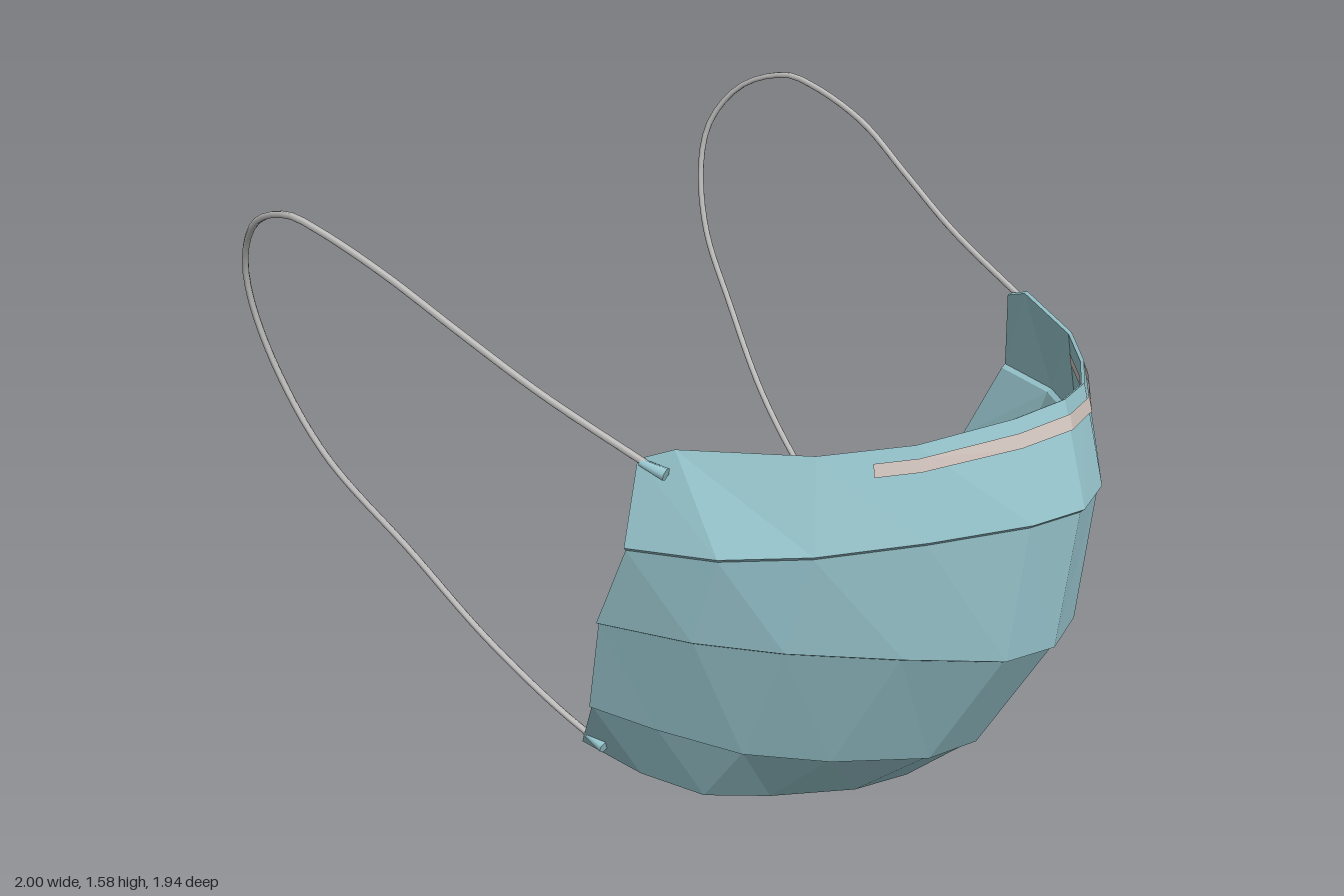
import * as THREE from 'three';

const V = (a) => new THREE.Vector3(...a);

// Half rows of the cover, from the centre line out to the model's left edge
const topRow = [[0, 1.172, .9], [.16, 1.16, .86], [.38, 1.13, .73], [.57, 1.125, .58], [.765, 1.14, .32], [.805, 1.11, .24]];
const foldA = [[0, .903, .97], [.16, .903, .925], [.38, .893, .775], [.6, .885, .6], [.75, .885, .43], [.838, .89, .22]];
const foldB = [[0, .513, .905], [.16, .523, .865], [.38, .567, .71], [.6, .61, .515], [.73, .635, .335], [.81, .65, .1]];
const foldC = [[0, .175, .685], [.16, .18, .645], [.38, .215, .495], [.55, .26, .345], [.67, .32, .16], [.735, .36, 0]];
const bottomRow = [[0, .003, .47], [.16, .01, .415], [.36, .035, .285], [.51, .07, .185], [.59, .12, .04], [.635, .18, -.12]];

// Full row from right edge to left edge
const mirrorRow = (half) => [
  ...half.slice(1).reverse().map(([x, y, z]) => V([-x, y, z])),
  ...half.map(V),
];

// Move a point towards the inside of the cover
const CORE = V([0, .65, -.1]);
const inset = (p, d) => p.clone().addScaledVector(CORE.clone().sub(p).normalize(), d);

// Point on a row at column position u (-5 to 5)
function rowAt(row, u) {
  const i = Math.min(Math.floor(u + 5), 9);
  return row[i].clone().lerp(row[i + 1], u + 5 - i);
}

function flatGeometry(quads) {
  const pos = [];
  for (const [a, b, c, d] of quads) for (const p of [a, b, c, a, c, d]) pos.push(p.x, p.y, p.z);
  const g = new THREE.BufferGeometry();
  g.setAttribute('position', new THREE.Float32BufferAttribute(pos, 3));
  g.computeVertexNormals();
  return g;
}

// Quads between two rows, with the diagonals mirrored about the centre line
function bridge(upper, lower) {
  const quads = [];
  const n = upper.length - 1;
  for (let c = 0; c < n; c++) {
    const [a, b, d, e] = [upper[c], lower[c], lower[c + 1], upper[c + 1]];
    quads.push(c < n / 2 ? [a, b, d, e] : [b, d, e, a]);
  }
  return quads;
}

// Thin pleated shell: each fold ends in a narrow lip facing down
function coverGeometry() {
  const outer = [mirrorRow(topRow)];
  for (const fold of [foldA, foldB, foldC]) {
    const lip = mirrorRow(fold);
    outer.push(lip, lip.map((p) => {
      const q = inset(p, .012);
      q.y -= .007;
      return q;
    }));
  }
  outer.push(mirrorRow(bottomRow));
  const inner = outer.map((row) => row.map((p) => inset(p, .01)));
  const ring = [...outer, ...inner.slice().reverse()];
  const quads = ring.flatMap((row, r) => bridge(row, ring[(r + 1) % ring.length]));
  // Side edges
  for (let r = 0; r < outer.length - 1; r++) {
    const e = outer[r].length - 1;
    quads.push([inner[r][0], inner[r + 1][0], outer[r + 1][0], outer[r][0]]);
    quads.push([outer[r][e], outer[r + 1][e], inner[r + 1][e], inner[r][e]]);
  }
  return flatGeometry(quads);
}

// Thin band following the upper panel
function stripGeometry(depth) {
  const a = mirrorRow(topRow), b = mirrorRow(foldA);
  const us = [-2.45, -2, -1, 0, 1, 2, 2.8];
  const line = (t) => us.map((u) => inset(rowAt(a, u).lerp(rowAt(b, u), t), depth));
  return flatGeometry(bridge(line(.14), line(.28)));
}

// Path of one ear loop, from the upper corner back round to the lower corner
const loopPath = [
  [.805, 1.1, .28], [.868, 1.235, 0], [.92, 1.355, -.2], [.97, 1.477, -.4], [.99, 1.555, -.6], [.99, 1.573, -.7],
  [.965, 1.525, -.85], [.93, 1.41, -.945], [.905, 1.28, -.965], [.87, 1.08, -.92], [.835, .87, -.8],
  [.75, .63, -.6], [.7, .43, -.4], [.662, .28, -.2], [.64, .2, -.06],
];

function knot(from, to, material) {
  const dir = to.clone().sub(from);
  const mesh = new THREE.Mesh(new THREE.CylinderGeometry(.01, .017, dir.length(), 6), material);
  mesh.position.copy(from).addScaledVector(dir, .5);
  mesh.quaternion.setFromUnitVectors(new THREE.Vector3(0, 1, 0), dir.normalize());
  return mesh;
}

export function createModel() {
  const fabric = new THREE.MeshStandardMaterial({ color: 0x9ccbd3 });
  fabric.name = 'pale blue fabric';
  const elastic = new THREE.MeshStandardMaterial({ color: 0xc0bfbe });
  elastic.name = 'grey elastic';
  const band = new THREE.MeshStandardMaterial({ color: 0xd6c8c2, side: THREE.DoubleSide });
  band.name = 'pale pinkish grey band';

  const model = new THREE.Group();
  model.name = 'faceMask';
  const add = (mesh, name, parent = model) => {
    mesh.name = name;
    parent.add(mesh);
  };

  add(new THREE.Mesh(coverGeometry(), fabric), 'pleatedCover');
  add(new THREE.Mesh(stripGeometry(-.007), band), 'noseStripOutside');
  add(new THREE.Mesh(stripGeometry(.017), band), 'noseStripInside');

  // Ear loops with a knot at each end
  for (const [side, label] of [[1, 'left'], [-1, 'right']]) {
    const m = ([x, y, z]) => V([side * x, y, z]);
    const loop = new THREE.Group();
    const curve = new THREE.CatmullRomCurve3(loopPath.map(m));
    add(new THREE.Mesh(new THREE.TubeGeometry(curve, 72, .009, 6), elastic), 'elastic', loop);
    add(knot(m([.798, 1.088, .32]), m([.812, 1.108, .255]), fabric), 'upperKnot', loop);
    add(knot(m([.645, .195, -.035]), m([.642, .215, -.1]), fabric), 'lowerKnot', loop);
    add(loop, label + 'EarLoop');
  }
  return model;
}
